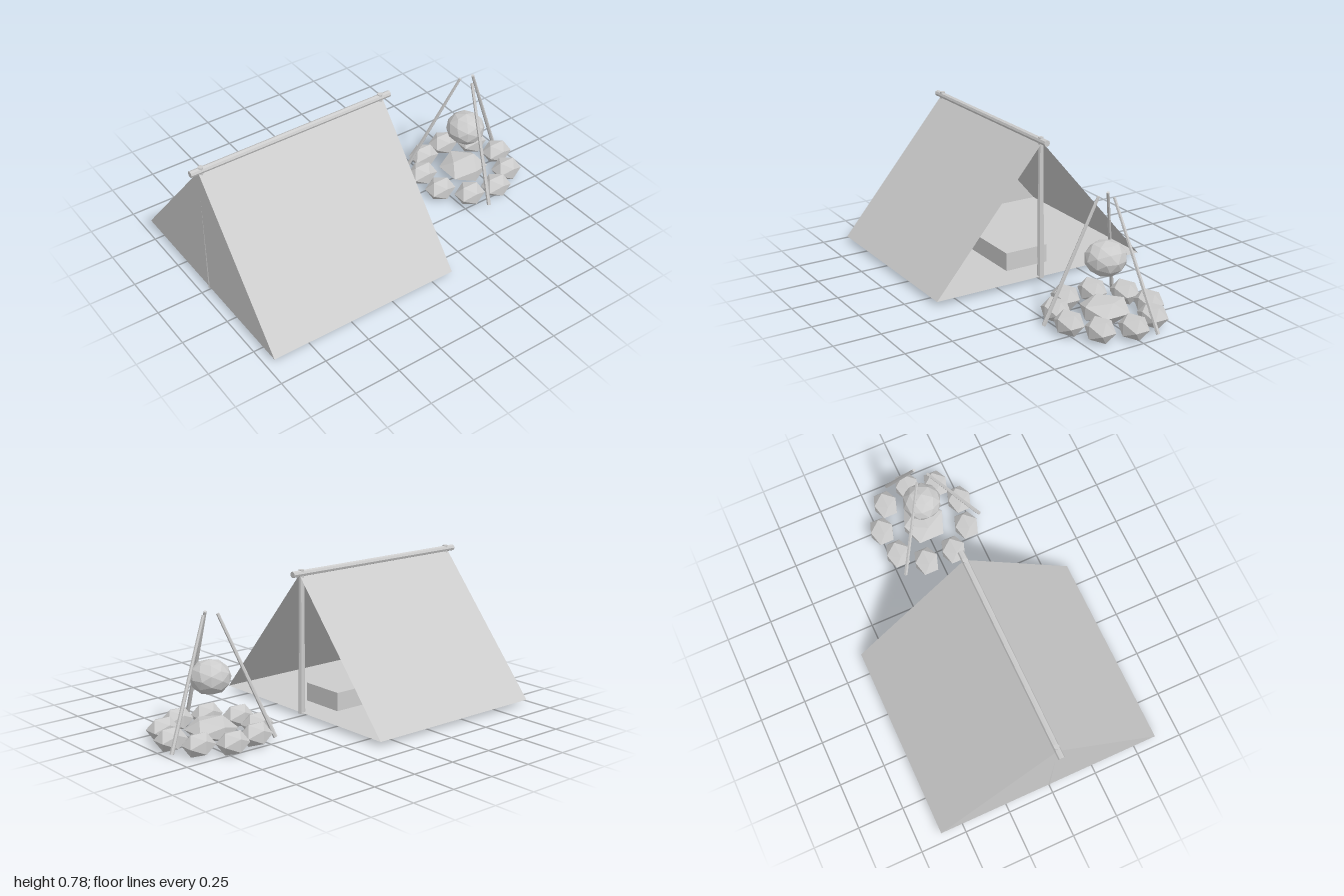
import * as THREE from 'three';

export function createModel() {
  const model = new THREE.Group();
  const grey = new THREE.MeshStandardMaterial({ color: 0xcccccc, flatShading: true, side: THREE.DoubleSide });
  grey.name = 'plain grey';

  function add(parent, name, geometry, x = 0, y = 0, z = 0) {
    const mesh = new THREE.Mesh(geometry, grey);
    mesh.name = name;
    mesh.position.set(x, y, z);
    parent.add(mesh);
    return mesh;
  }

  // Tapered round stick between two points
  function stick(parent, name, from, to, rFrom, rTo, sides = 8) {
    const a = new THREE.Vector3(...from), b = new THREE.Vector3(...to);
    const dir = b.clone().sub(a);
    const mesh = add(parent, name, new THREE.CylinderGeometry(rTo, rFrom, dir.length(), sides));
    mesh.position.copy(a).add(b).multiplyScalar(0.5);
    mesh.quaternion.setFromUnitVectors(new THREE.Vector3(0, 1, 0), dir.normalize());
  }

  // Single-layer cloth from three or four corners, wound counter-clockwise
  function sheet(parent, name, corners) {
    const geometry = new THREE.BufferGeometry();
    geometry.setAttribute('position', new THREE.Float32BufferAttribute(corners.flat(), 3));
    geometry.setIndex(corners.length === 4 ? [0, 1, 2, 0, 2, 3] : [0, 1, 2]);
    geometry.computeVertexNormals();
    add(parent, name, geometry);
  }

  // Tent: two slopes, floor and closed rear, open toward the fire
  const tent = new THREE.Group();
  tent.name = 'tent';
  model.add(tent);
  const x0 = -0.957, x1 = 0.112, base = 0.027, top = 0.76, half = 0.622;
  sheet(tent, 'frontSlope', [[x0, base, half], [x1, base, half], [x1, top, 0], [x0, top, 0]]);
  sheet(tent, 'backSlope', [[x1, base, -half], [x0, base, -half], [x0, top, 0], [x1, top, 0]]);
  sheet(tent, 'groundSheet', [[x0, base, -half], [x1, base, -half], [x1, base, half], [x0, base, half]]);
  sheet(tent, 'endWall', [[x0, base, -half], [x0, base, half], [x0, top, 0]]);

  // Poles
  stick(tent, 'ridgePole', [-1, 0.765, 0], [0.157, 0.765, 0], 0.017, 0.017);
  for (const x of [-0.942, 0.098]) {
    stick(tent, 'uprightPole', [x, 0.018, 0], [x, 0.785, 0], 0.018, 0.014);
  }

  // Bedding inside
  add(tent, 'bedroll', new THREE.BoxGeometry(0.76, 0.1, 0.25), -0.42, 0.08, 0);

  // Campfire: ring of stones around a central heap
  const fire = new THREE.Group();
  fire.name = 'campfire';
  fire.position.x = 0.68;
  model.add(fire);
  const stone = new THREE.IcosahedronGeometry(1, 0).scale(0.088, 0.0645, 0.075);
  for (let i = 0; i < 9; i++) {
    const a = (i / 9) * Math.PI * 2;
    add(fire, 'ringStone', stone, 0.24 * Math.cos(a), 0.058, 0.24 * Math.sin(a));
  }
  add(fire, 'emberHeap', new THREE.IcosahedronGeometry(1, 0).scale(0.135, 0.064, 0.135), 0, 0.06, 0);

  // Cooking pot and the tripod standing over it
  add(fire, 'pot', new THREE.IcosahedronGeometry(1, 1).scale(0.105, 0.09, 0.107), 0, 0.327, 0);
  for (const deg of [-18, 102, 222]) {
    const c = Math.cos(deg * Math.PI / 180), s = Math.sin(deg * Math.PI / 180);
    stick(fire, 'tripodLeg', [0.318 * c, 0.02, 0.318 * s], [0.043 * c, 0.647, 0.043 * s], 0.011, 0.008, 6);
  }
  return model;
}
